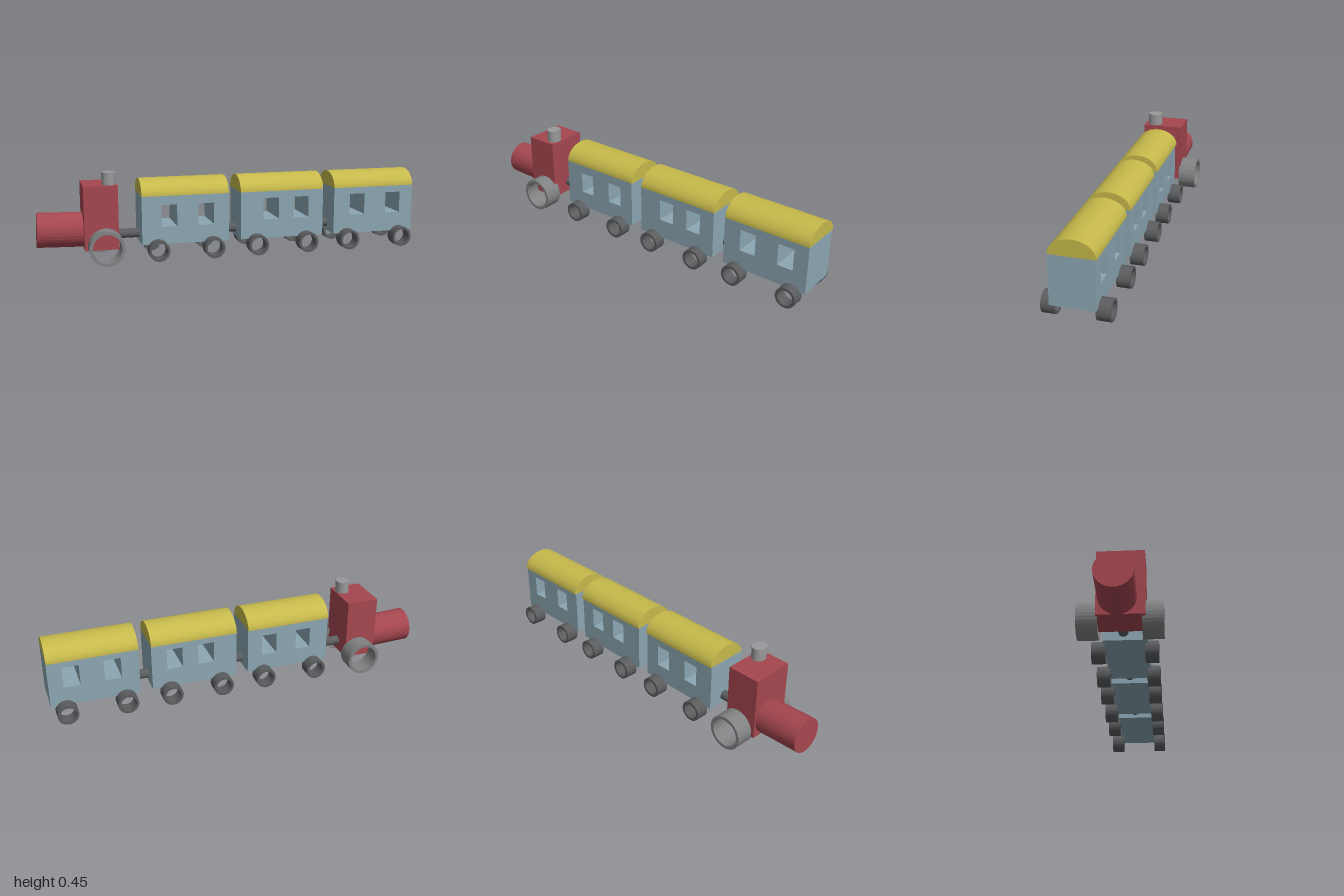
import * as THREE from 'three';

const mat = (color) => new THREE.MeshStandardMaterial({ color, flatShading: true });
const red = mat(0xa5464f), blue = mat(0x8ba6b2), yellow = mat(0xc6b94b);
const dark = mat(0x5a5c5e), grey = mat(0x808283), light = mat(0x98999a);

function add(group, name, geometry, material, x = 0, y = 0, z = 0) {
  const mesh = new THREE.Mesh(geometry, material);
  mesh.name = name;
  mesh.position.set(x, y, z);
  group.add(mesh);
  return mesh;
}

const extrude = (shape, depth) =>
  new THREE.ExtrudeGeometry(shape, { depth, bevelEnabled: false, curveSegments: 16 });

// Open hoop whose axis runs along z, starting at z = 0
function hoop(outer, inner, depth) {
  const shape = new THREE.Shape().absarc(0, 0, outer, 0, Math.PI * 2, false);
  shape.holes.push(new THREE.Path().absarc(0, 0, inner, 0, Math.PI * 2, true));
  return extrude(shape, depth);
}

function rectangle(path, x0, x1, y0, y1) {
  path.moveTo(x0, y0).lineTo(x1, y0).lineTo(x1, y1).lineTo(x0, y1).closePath();
  return path;
}

// Rod along x
function rod(group, name, x0, x1) {
  const mesh = add(group, name, new THREE.CylinderGeometry(0.024, 0.024, x1 - x0, 24), dark, (x0 + x1) / 2, 0.123, 0);
  mesh.rotation.z = Math.PI / 2;
}

function createEngine() {
  const engine = new THREE.Group();
  engine.name = 'engine';

  add(engine, 'cab', new THREE.BoxGeometry(0.17, 0.322, 0.221), red, -0.685, 0.229, 0.005);

  // Boiler, tipped up very slightly towards its free end
  const boiler = add(engine, 'boiler', new THREE.CylinderGeometry(0.088, 0.088, 0.25, 32), red, -0.872, 0.157, -0.009);
  boiler.rotation.z = Math.PI / 2 - 0.03;

  const chimney = add(engine, 'chimney', new THREE.CylinderGeometry(0.035, 0.035, 0.1, 24), light, -0.639, 0.403, 0.058);
  chimney.scale.z = 1.13;

  add(engine, 'engineWheelFront', hoop(0.088, 0.072, 0.096), grey, -0.667, 0.09, 0.099);
  add(engine, 'engineWheelBack', hoop(0.088, 0.072, 0.096), grey, -0.667, 0.09, -0.195);
  return engine;
}

// Carriage: body pierced by two windows, arched roof and four hoop wheels
function createCarriage({ x0, x1, windows, sill, wheels }) {
  const carriage = new THREE.Group();
  carriage.name = 'carriage';

  const side = rectangle(new THREE.Shape(), x0, x1, 0.081, 0.328);
  for (const [a, b] of windows) side.holes.push(rectangle(new THREE.Path(), a, b, sill, sill + 0.112));
  add(carriage, 'body', extrude(side, 0.213), blue, 0, 0, -0.098);

  const arch = new THREE.Shape().absellipse(0, 0, 0.11, 0.082, 0, Math.PI, false).closePath();
  const roof = add(carriage, 'roof', extrude(arch, x1 - x0), yellow, x0, 0.326, 0.005);
  roof.rotation.y = Math.PI / 2;

  for (const x of wheels) {
    add(carriage, 'wheelFront', hoop(0.053, 0.04, 0.065), dark, x, 0.055, 0.1);
    add(carriage, 'wheelBack', hoop(0.053, 0.04, 0.067), dark, x, 0.055, -0.155);
  }
  return carriage;
}

export function createModel() {
  const train = new THREE.Group();
  train.name = 'train';
  train.add(createEngine());

  const carriages = [
    { x0: -0.484, x1: -0.034, windows: [[-0.384, -0.304], [-0.194, -0.112]], sill: 0.17, wheels: [-0.404, -0.118] },
    { x0: 0.03, x1: 0.48, windows: [[0.152, 0.236], [0.318, 0.4]], sill: 0.181, wheels: [0.116, 0.388] },
    { x0: 0.544, x1: 0.996, windows: [[0.634, 0.718], [0.84, 0.923]], sill: 0.181, wheels: [0.62, 0.921] },
  ];
  for (const spec of carriages) train.add(createCarriage(spec));

  // Couplings joining the vehicles
  for (const [a, b] of [[-0.62, -0.46], [-0.05, 0.05], [0.46, 0.56]]) rod(train, 'coupling', a, b);
  return train;
}
